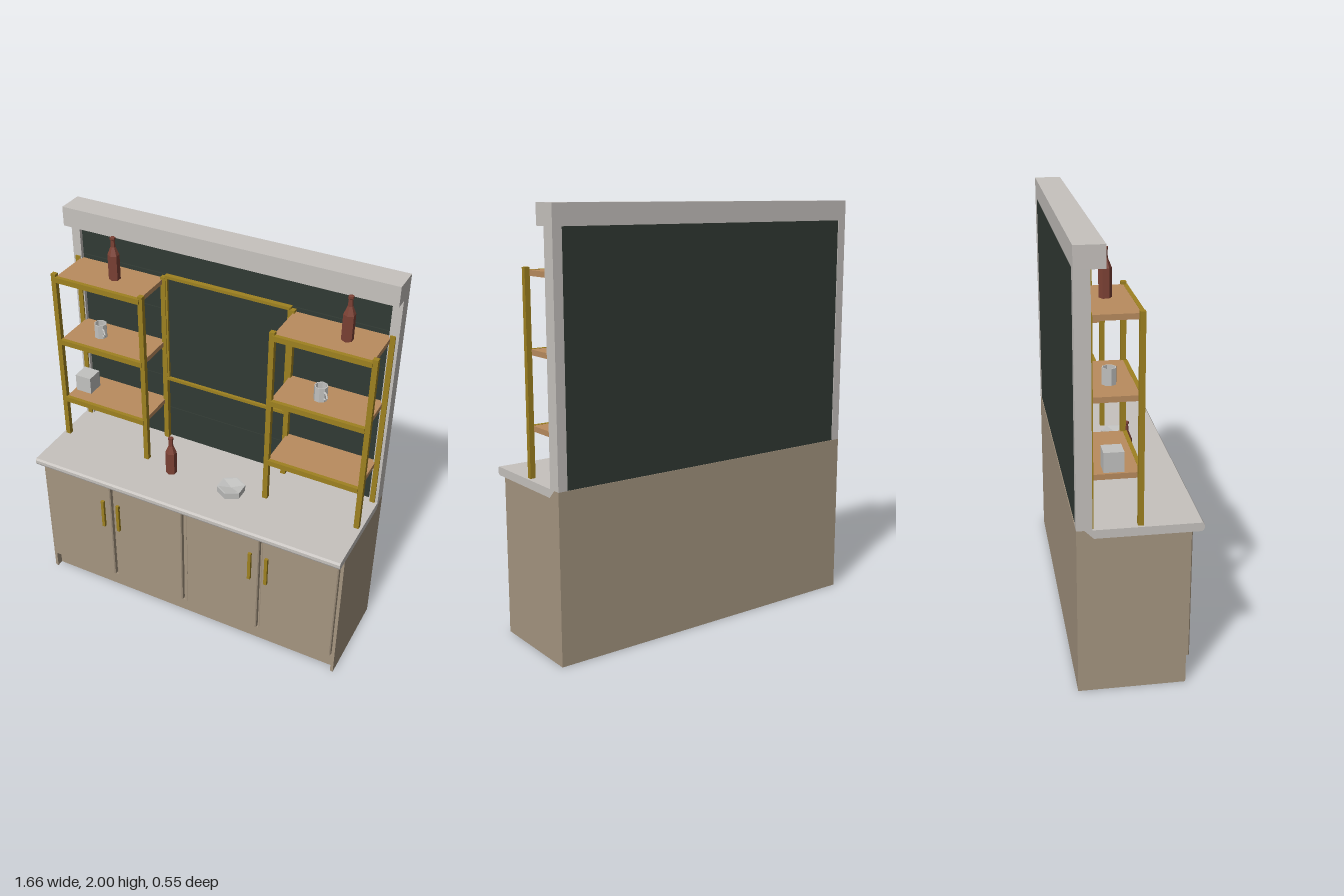
import * as THREE from 'three';

const mat = (name, color, extra = {}) => {
  const m = new THREE.MeshStandardMaterial({ color, ...extra });
  m.name = name;
  return m;
};

export function createModel() {
  const root = new THREE.Group();
  root.name = 'barCabinet';
  const stone = mat('pale stone', 0xc6c2be);
  const taupe = mat('taupe cabinet', 0xa59580);
  const green = mat('dark green', 0x313a34);
  const brass = mat('brass', 0x9e8120);
  const wood = mat('shelf wood', 0xb98c5e);
  const glass = mat('brown glass', 0x7d4235, { flatShading: true, side: THREE.DoubleSide });
  const ceramic = mat('pale ceramic', 0xc2c2c0, { flatShading: true, side: THREE.DoubleSide });

  const add = (name, geo, material, parent = root) => {
    const m = new THREE.Mesh(geo, material);
    m.name = name;
    parent.add(m);
    return m;
  };
  // Box given by its limits on each axis
  const box = (name, material, x0, x1, y0, y1, z0, z1, parent) => {
    const g = new THREE.BoxGeometry(x1 - x0, y1 - y0, z1 - z0);
    g.translate((x0 + x1) / 2, (y0 + y1) / 2, (z0 + z1) / 2);
    return add(name, g, material, parent);
  };
  // Side profile of [z, y] points swept from x0 to x1
  const sweep = (name, material, pts, x0, x1) => {
    const shape = new THREE.Shape(pts.map(p => new THREE.Vector2(...p)));
    const g = new THREE.ExtrudeGeometry(shape, { depth: x1 - x0, bevelEnabled: false });
    g.rotateY(-Math.PI / 2).translate(x1, 0, 0);
    return add(name, g, material);
  };

  // Base cabinet with recessed plinth between two side panels
  const top = [[0.21, 0.755], [-0.2, 0.755], [-0.24, 0.795], [-0.275, 0.795]];
  sweep('cabinetBody', taupe,
    [[-0.275, 0], [0.175, 0], [0.175, 0.093], [0.203, 0.093], [0.203, 0.755], ...top.slice(1)], -0.815, 0.815);
  for (const s of [-1, 1]) {
    const [a, b] = s < 0 ? [-0.83, -0.815] : [0.815, 0.83];
    sweep('sidePanel', taupe, [[-0.275, 0], [0.21, 0], ...top], a, b);
  }
  box('bottomRail', taupe, -0.815, 0.815, 0.093, 0.112, 0.203, 0.21);
  box('centreStile', taupe, -0.006, 0.006, 0.112, 0.755, 0.203, 0.21);

  // Doors with bevelled edges, and bar handles
  const bevel = 0.005;
  const doors = [[-0.812, -0.423], [-0.408, -0.014], [0.014, 0.408], [0.423, 0.812]];
  for (const [a, b] of doors) {
    const s = new THREE.Shape();
    const x0 = a + bevel, x1 = b - bevel, y0 = 0.125 + bevel, y1 = 0.748 - bevel;
    s.moveTo(x0, y0).lineTo(x1, y0).lineTo(x1, y1).lineTo(x0, y1);
    const g = new THREE.ExtrudeGeometry(s, {
      depth: 0.02, bevelThickness: bevel, bevelSize: bevel, bevelSegments: 1 });
    add('door', g.translate(0, 0, 0.204), taupe);
  }
  for (const x of [-0.46, -0.373, 0.367, 0.455]) {
    box('handle', brass, x - 0.008, x + 0.008, 0.47, 0.635, 0.236, 0.25);
    for (const y of [0.49, 0.615]) box('handleMount', brass, x - 0.005, x + 0.005, y - 0.006, y + 0.006, 0.225, 0.238);
  }

  // Countertop with eased front edge and sloped back
  sweep('countertop', stone, [[-0.2, 0.755], [0.262, 0.755], [0.271, 0.76], [0.275, 0.769],
    [0.275, 0.785], [0.268, 0.795], [-0.24, 0.795]], -0.83, 0.83);

  // Back frame
  box('frameHeader', stone, -0.83, 0.83, 1.905, 2, -0.275, -0.145);
  for (const s of [-1, 1]) {
    const x = s * 0.8075;
    box('frameSide', stone, x - 0.0225, x + 0.0225, 0.795, 1.905, -0.275, -0.206);
  }

  // Planked back panel
  box('backPanel', green, -0.785, 0.785, 0.795, 1.905, -0.272, -0.232);
  const seams = [0.795, 0.975, 1.16, 1.35, 1.545, 1.735, 1.905];
  for (let i = 0; i < seams.length - 1; i++)
    box('plank', green, -0.785, 0.785, seams[i] + 0.002, seams[i + 1] - 0.002, -0.233, -0.225);

  // Framed centre panel
  box('centrePanel', green, -0.32, 0.32, 1.16, 1.735, -0.226, -0.215);
  for (const [y0, y1] of [[1.155, 1.17], [1.725, 1.74]])
    box('centreFrameRail', brass, -0.32, 0.32, y0, y1, -0.225, -0.2);
  for (const x of [-0.316, 0.316])
    box('centreFrameStile', brass, x - 0.007, x + 0.007, 1.155, 1.74, -0.225, -0.203);

  // Two shelf units
  for (const s of [-1, 1]) {
    const unit = new THREE.Group();
    unit.name = s > 0 ? 'leftShelfUnit' : 'rightShelfUnit';
    root.add(unit);
    for (const px of [0.331, 0.804]) {
      const x = s * px;
      box('frontPost', brass, x - 0.0125, x + 0.0125, 0.795, 1.728, -0.01, 0.014, unit);
      box('backPost', brass, x - 0.0125, x + 0.0125, 0.795, 1.728, -0.224, -0.199, unit);
    }
    const [a, b] = s > 0 ? [0.335, 0.793] : [-0.793, -0.335];
    for (const y of [1.007, 1.347, 1.69]) {
      box('shelfBoard', wood, a, b, y, y + 0.025, -0.222, 0, unit);
      box('shelfRail', brass, a, b, y - 0.001, y + 0.026, 0, 0.019, unit);
    }
  }

  // Six-sided bottles
  const lathe = (pts, n = 6) => new THREE.LatheGeometry(pts.map(p => new THREE.Vector2(...p)), n);
  const bottle = lathe([[0, 0], [0.028, 0], [0.028, 0.125], [0.012, 0.165], [0.01, 0.198],
    [0.013, 0.2], [0.013, 0.212], [0, 0.214]]);
  for (const p of [[-0.537, 1.715, -0.108], [0.632, 1.715, -0.108], [-0.167, 0.795, 0.045]])
    add('bottle', bottle, glass).position.set(...p);

  // Shallow dish
  add('dish', lathe([[0, 0], [0.068, 0], [0.07, 0.036], [0.064, 0.036], [0, 0.024]]), ceramic)
    .position.set(0.165, 0.795, 0.043);

  // Mugs with angular handles
  const cup = lathe([[0, 0], [0.032, 0], [0.032, 0.073], [0.027, 0.073], [0.027, 0.008], [0, 0.008]], 8);
  const ring = new THREE.TorusGeometry(0.02, 0.005, 4, 6).translate(0.035, 0.036, 0);
  for (const x of [-0.636, 0.532]) {
    const mug = new THREE.Group();
    mug.name = 'mug';
    add('mugCup', cup, ceramic, mug);
    add('mugHandle', ring, ceramic, mug);
    mug.position.set(x, 1.372, -0.107);
    mug.rotation.y = -Math.PI / 5;
    root.add(mug);
  }

  // Storage cube
  box('storageCube', ceramic, -0.781, -0.694, 1.032, 1.122, -0.152, -0.064);
  return root;
}
